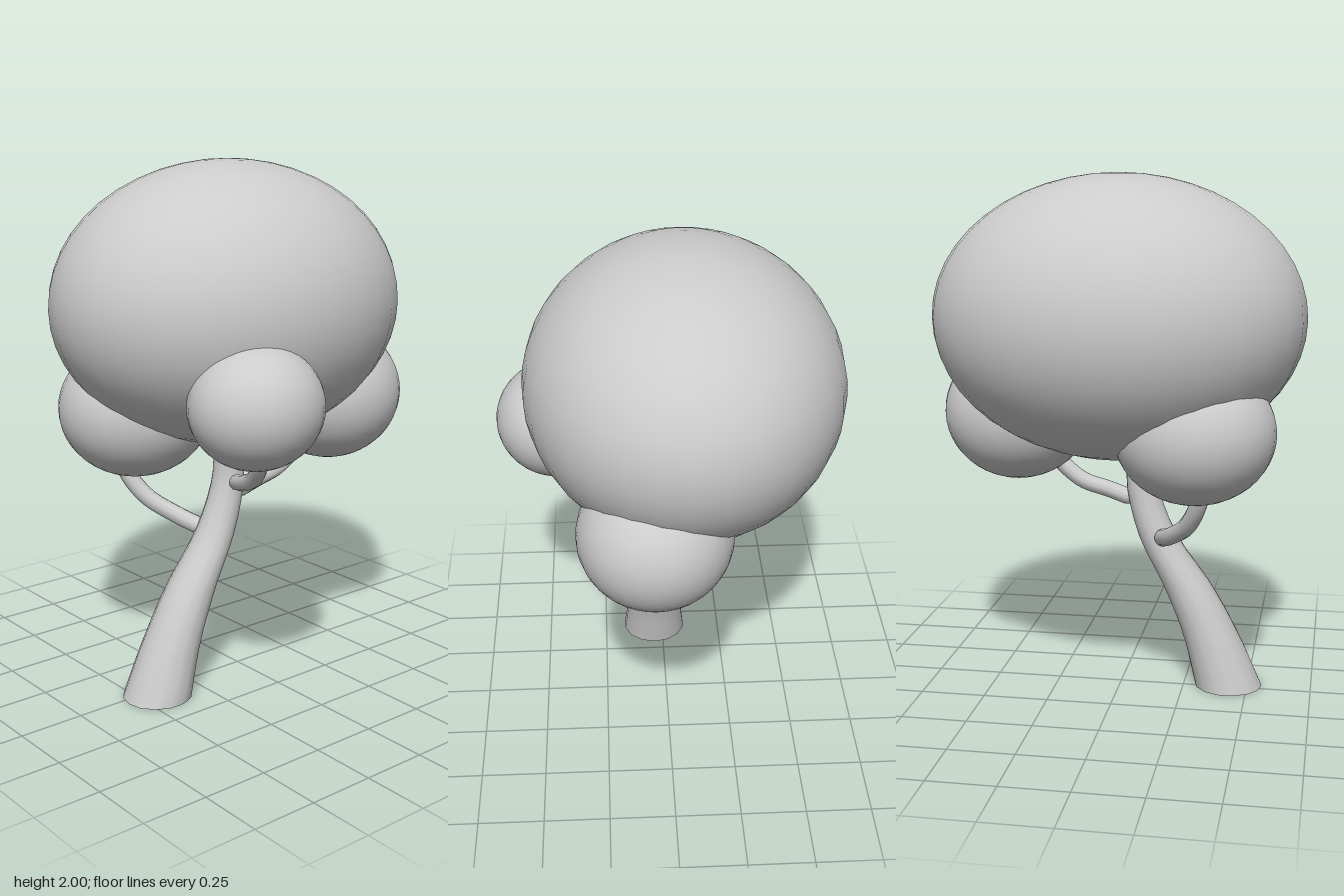
import * as THREE from 'three';

const material = new THREE.MeshStandardMaterial({ color: 0xcccccc });
const vec = (p) => new THREE.Vector3(...p);

function addMesh(group, name, geometry) {
  const mesh = new THREE.Mesh(geometry, material);
  mesh.name = name;
  group.add(mesh);
  return mesh;
}

// Ellipsoid of leaves
function addFoliage(group, name, centre, radii) {
  const mesh = addMesh(group, name, new THREE.SphereGeometry(1, 32, 24));
  mesh.position.set(...centre);
  mesh.scale.set(...radii);
}

// Trunk: horizontal rings following a leaning curve, given as [x, y, z, radius]
function trunkGeometry(rows) {
  const path = new THREE.CatmullRomCurve3(rows.map(vec));
  const radii = new THREE.CatmullRomCurve3(rows.map((r) => new THREE.Vector3(r[3], 0, 0)), false, 'catmullrom');
  const steps = 20;
  const geometry = new THREE.CylinderGeometry(1, 1, 1, 14, steps);
  const pos = geometry.attributes.position;
  for (let i = 0; i < pos.count; i++) {
    const t = THREE.MathUtils.clamp(pos.getY(i) + 0.5, 0, 1);
    const c = path.getPoint(t);
    const r = radii.getPoint(t).x;
    pos.setXYZ(i, c.x + pos.getX(i) * r, c.y, c.z + pos.getZ(i) * r);
  }
  geometry.computeVertexNormals();
  // Share normals across the side seam
  const n = geometry.attributes.normal;
  for (let j = 0; j <= steps; j++) {
    const a = j * 15, b = a + 14;
    const m = new THREE.Vector3().fromBufferAttribute(n, a)
      .add(new THREE.Vector3().fromBufferAttribute(n, b)).normalize();
    n.setXYZ(a, m.x, m.y, m.z);
    n.setXYZ(b, m.x, m.y, m.z);
  }
  return geometry;
}

// Curved branch with a rounded root
function addBranch(group, name, points, radius) {
  const branch = new THREE.Group();
  branch.name = name;
  const curve = new THREE.CatmullRomCurve3(points.map(vec));
  addMesh(branch, name + 'Limb', new THREE.TubeGeometry(curve, 20, radius, 10));
  const root = addMesh(branch, name + 'Root', new THREE.SphereGeometry(radius, 10, 8));
  root.position.set(...points[0]);
  group.add(branch);
}

export function createModel() {
  const tree = new THREE.Group();
  tree.name = 'tree';

  // Leaning trunk
  addMesh(tree, 'trunk', trunkGeometry([
    [0.035, 0, 0.425, 0.133],
    [0.035, 0.2, 0.355, 0.113],
    [0.035, 0.4, 0.26, 0.097],
    [0.035, 0.6, 0.14, 0.077],
    [0.038, 0.8, 0.078, 0.063],
    [0.04, 0.95, 0.08, 0.058],
    [0.04, 1.08, 0.085, 0.055],
  ]));

  // Branches
  addBranch(tree, 'rightBranch', [
    [-0.04, 0.61, 0.17], [-0.12, 0.64, 0.21], [-0.22, 0.71, 0.285], [-0.285, 0.82, 0.335], [-0.3, 0.92, 0.34],
  ], 0.034);
  addBranch(tree, 'leftBranch', [
    [0.09, 0.795, 0.08], [0.18, 0.82, 0.12], [0.3, 0.875, 0.165], [0.37, 0.95, 0.2], [0.4, 1.04, 0.23],
  ], 0.031);
  addBranch(tree, 'backBranch', [
    [0.045, 0.75, 0.015], [0.05, 0.775, -0.06], [0.055, 0.805, -0.16], [0.06, 0.865, -0.24], [0.06, 0.95, -0.31],
  ], 0.032);

  // Canopy and the smaller clumps around it
  addFoliage(tree, 'canopy', [-0.065, 1.465, 0], [0.595, 0.535, 0.705]);
  addFoliage(tree, 'rightClump', [-0.235, 1.065, 0.31], [0.29, 0.265, 0.3]);
  addFoliage(tree, 'leftClump', [0.42, 1.18, 0.26], [0.236, 0.225, 0.248]);
  addFoliage(tree, 'backClump', [0.06, 1.08, -0.42], [0.285, 0.27, 0.29]);

  return tree;
}
